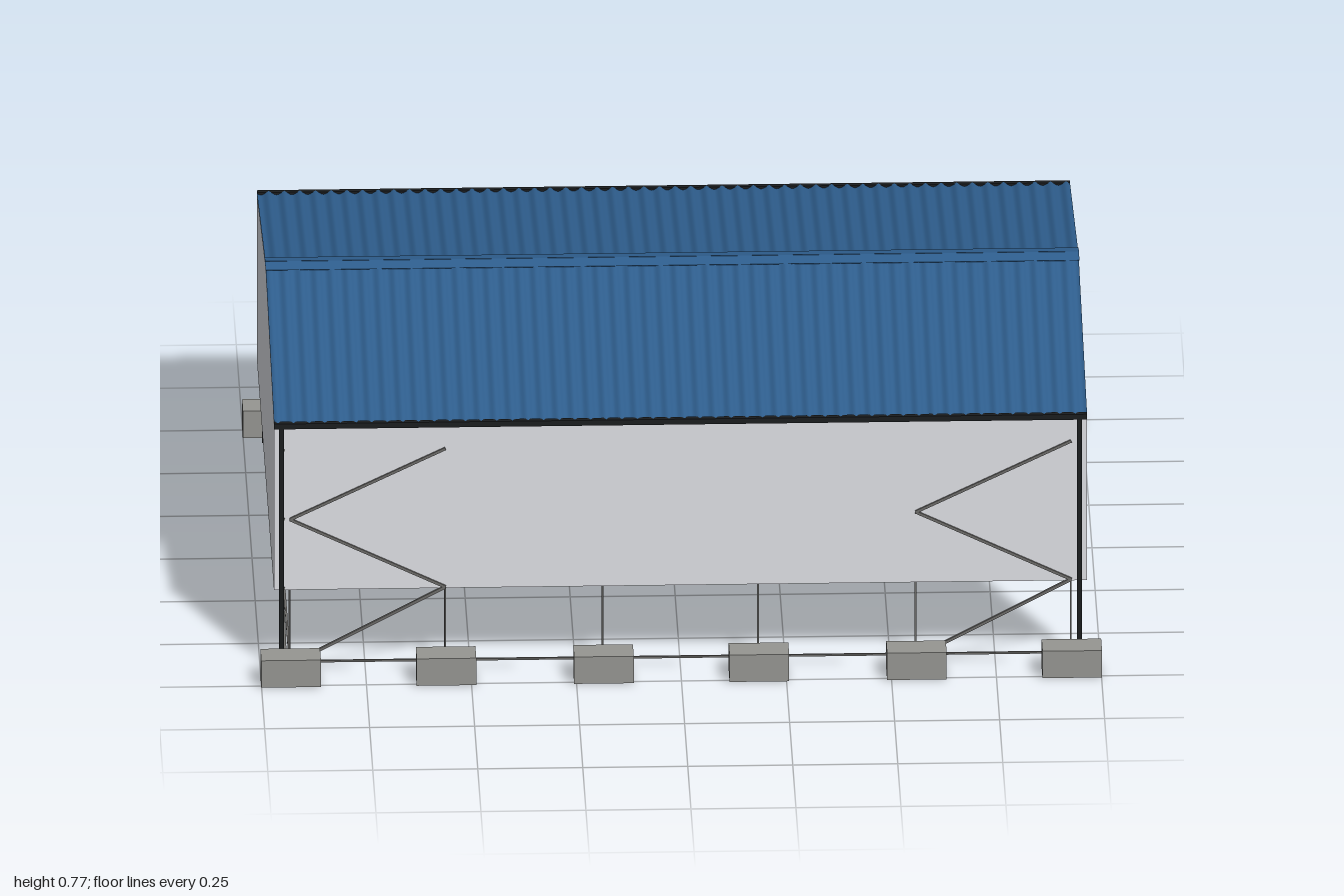
import * as THREE from 'three';

const material = (name, color) => {
  const m = new THREE.MeshStandardMaterial({ color });
  m.name = name;
  return m;
};

export function createModel() {
  const model = new THREE.Group();
  model.name = 'steelShed';

  const steel = material('grey steel', 0x6c6b69);
  const blue = material('blue sheet', 0x2f5f8f);
  blue.side = THREE.DoubleSide;
  const wallGrey = material('light grey cladding', 0xdedfe5);
  const concrete = material('concrete', 0x969692);
  const black = material('black gutter', 0x1a1c1e);
  const brown = material('brown plate', 0x86652f);

  const group = (name, parent = model) => {
    const g = new THREE.Group();
    g.name = name;
    parent.add(g);
    return g;
  };
  const add = (parent, name, geometry, mat) => {
    const m = new THREE.Mesh(geometry, mat);
    m.name = name;
    parent.add(m);
    return m;
  };
  const box = (parent, name, size, pos, mat) => {
    const m = add(parent, name, new THREE.BoxGeometry(...size), mat);
    m.position.set(...pos);
    return m;
  };
  // Straight square bar between two points
  const bar = (parent, name, a, b, w) => {
    const p = new THREE.Vector3(...a), q = new THREE.Vector3(...b);
    const m = add(parent, name, new THREE.BoxGeometry(w, w, p.distanceTo(q)), steel);
    m.position.copy(p).add(q).multiplyScalar(0.5);
    m.lookAt(q);
    return m;
  };

  const frameX = [-0.93, -0.56, -0.185, 0.185, 0.56, 0.93];
  const sides = [1, -1];
  const girtY = [0.58, 0.4, 0.22];
  const braceY = [0.58, 0.4, 0.22, 0.022];
  const panels = 7;
  const topY = t => 0.75 - 0.11 * t;
  const lowY = t => 0.69 - 0.11 * t;

  // Portal frames: twin-post columns and roof trusses
  for (const x of frameX) {
    const frame = group('portalFrame');
    for (const s of sides) {
      box(frame, 'innerPost', [0.004, 0.64, 0.006], [x, 0.32, s * 0.637], steel);
      box(frame, 'outerPost', [0.004, 0.64, 0.006], [x, 0.32, s * 0.655], steel);
      bar(frame, 'topChord', [x, topY(0), 0], [x, topY(1) - 0.004, s * 0.667], 0.008);
      bar(frame, 'bottomChord', [x, lowY(0), 0], [x, lowY(1), s * 0.64], 0.006);
      for (let i = 0; i < panels; i++) {
        const t = i / panels, u = (i + 1) / panels;
        if (i > 0 || s > 0) {
          bar(frame, 'trussPost', [x, lowY(t), s * 0.64 * t], [x, topY(t), s * 0.64 * t], 0.004);
        }
        bar(frame, 'trussDiagonal', [x, lowY(t), s * 0.64 * t], [x, topY(u), s * 0.64 * u], 0.004);
      }
      box(frame, 'basePlate', [0.035, 0.005, 0.095], [x, 0.0025, s * 0.655], brown);
      box(frame, 'footing', [0.142, 0.07, 0.07], [x, 0.038, s * 0.731], concrete);
    }
  }

  // Long walls with girts, zigzag braces, gutters and downpipes
  for (const s of sides) {
    const wall = group(s > 0 ? 'frontWall' : 'backWall');
    box(wall, 'wallCladding', [1.936, 0.429, 0.004], [0, 0.4305, s * 0.672], wallGrey);
    for (const y of girtY) {
      bar(wall, 'girt', [-0.95, y, s * 0.666], [0.95, y, s * 0.666], 0.006);
    }
    bar(wall, 'groundBeam', [-0.93, 0.022, s * 0.657], [0.93, 0.022, s * 0.657], 0.005);
    for (const [a, b] of [[-0.56, -0.93], [0.93, 0.56]]) {
      for (let i = 0; i < 3; i++) {
        const p = i % 2 ? b : a, q = i % 2 ? a : b;
        bar(wall, 'wallBrace', [p, braceY[i], s * 0.675], [q, braceY[i + 1], s * 0.675], 0.007);
      }
    }
    box(wall, 'gutter', [1.936, 0.014, 0.014], [0, 0.646, s * 0.678], black);
    for (const x of [-0.95, 0.95]) {
      box(wall, 'downpipe', [0.012, 0.645, 0.01], [x, 0.3225, s * 0.678], black);
    }
  }

  // Closed gable at one end
  const gable = group('gableWall');
  const outline = new THREE.Shape([
    [-0.67, 0.216], [0.67, 0.216], [0.67, 0.642], [0, 0.757], [-0.67, 0.642],
  ].map(p => new THREE.Vector2(...p)));
  const sheet = add(gable, 'gableCladding',
    new THREE.ExtrudeGeometry(outline, { depth: 0.004, bevelEnabled: false }), wallGrey);
  sheet.rotation.y = Math.PI / 2;
  sheet.position.x = -0.968;
  for (const y of girtY) {
    bar(gable, 'gableGirt', [-0.945, y, -0.675], [-0.945, y, 0.675], 0.006);
  }
  bar(gable, 'gableGroundBeam', [-0.93, 0.022, -0.7], [-0.93, 0.022, 0.7], 0.005);
  for (let i = 0; i < 3; i++) {
    const p = i % 2 ? 0.64 : 0, q = 0.64 - p;
    bar(gable, 'gableBrace', [-0.94, braceY[i], p], [-0.94, braceY[i + 1], q], 0.007);
  }

  // Thin corrugated roof sheets, purlins and smooth ridge cap
  const waves = 52, width = 1.936, amplitude = 0.004;
  const slope = Math.atan2(0.118, 0.68);
  const corrugated = new THREE.PlaneGeometry(width, 0.69, waves * 8, 1);
  corrugated.rotateX(-Math.PI / 2).translate(0, 0, 0.345);
  const points = corrugated.attributes.position;
  for (let i = 0; i < points.count; i++) {
    points.setY(i, amplitude * Math.sin((points.getX(i) / width) * waves * Math.PI * 2));
  }
  corrugated.computeVertexNormals();
  for (const s of sides) {
    const half = group(s > 0 ? 'frontRoof' : 'backRoof');
    half.rotation.y = s > 0 ? 0 : Math.PI;
    const pitchGroup = group('roofSlope', half);
    pitchGroup.position.y = 0.767;
    pitchGroup.rotation.x = slope;
    add(pitchGroup, 'corrugatedSheet', corrugated, blue);
    box(pitchGroup, 'ridgeCap', [1.938, 0.001, 0.037], [0, amplitude + 0.001, 0.0185], blue);
    for (let i = 0; i <= panels; i++) {
      box(pitchGroup, 'purlin', [1.92, 0.004, 0.004], [0, -0.008, 0.015 + 0.65 * i / panels], steel);
    }
  }
  return model;
}
